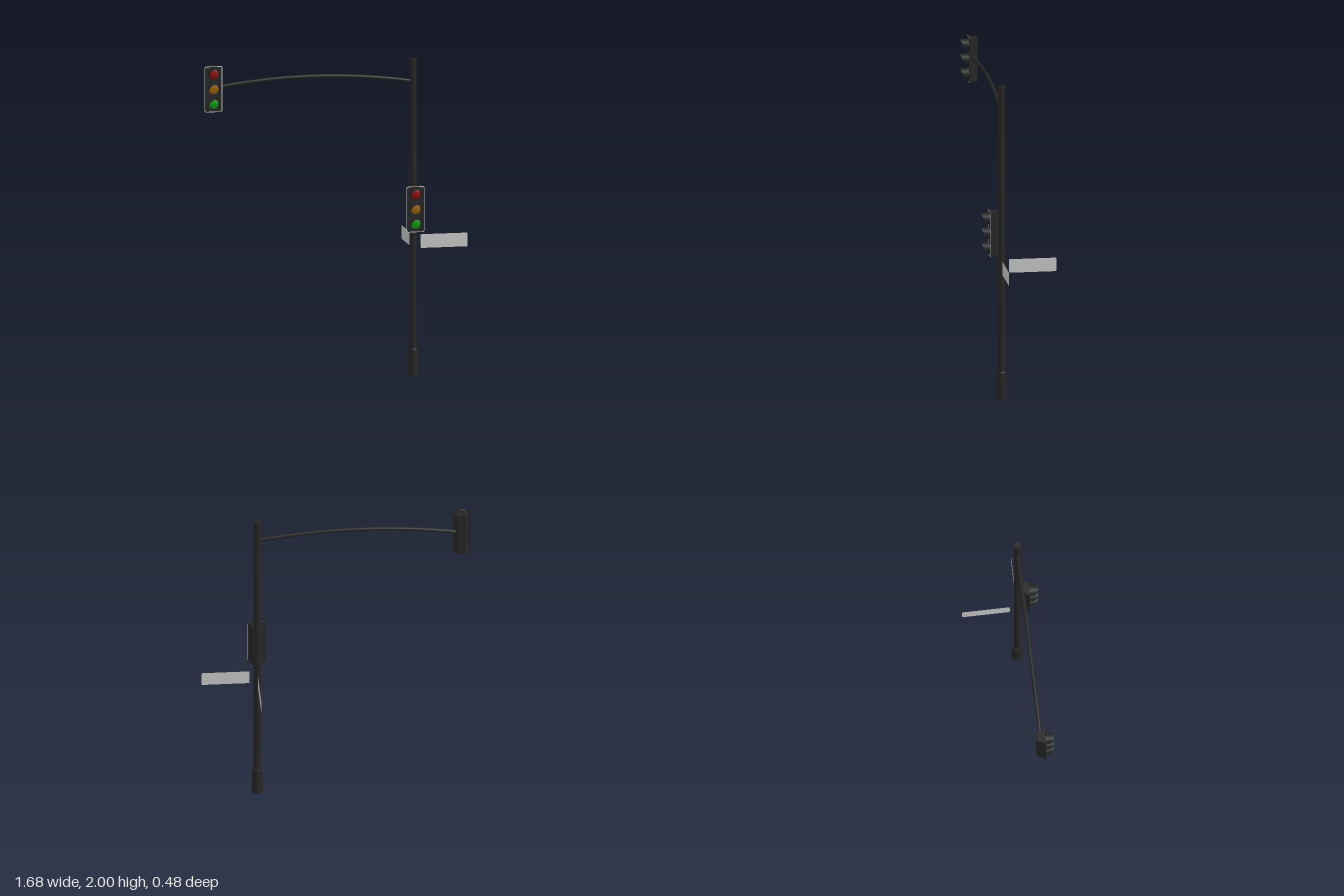
import * as THREE from 'three';

const mat = (color, side = THREE.FrontSide) => new THREE.MeshStandardMaterial({ color, side });
const dark = mat(0x262626);
const darkThin = mat(0x262626, THREE.DoubleSide);
const grey = mat(0xcccccc, THREE.DoubleSide);
const lensMats = [mat(0x8b0d10), mat(0x996000), mat(0x0c990c)];

const POLE_X = 0.491, POLE_Z = 0.108;

function add(parent, name, geometry, material, x = 0, y = 0, z = 0) {
  const mesh = new THREE.Mesh(geometry, material);
  mesh.name = name;
  mesh.position.set(x, y, z);
  parent.add(mesh);
  return mesh;
}

// Rounded rectangle centred on the origin
function roundedRect(w, h, r, Type = THREE.Shape) {
  const s = new Type(), x = w / 2, y = h / 2;
  s.moveTo(-x + r, -y);
  s.lineTo(x - r, -y).absarc(x - r, -y + r, r, -Math.PI / 2, 0);
  s.lineTo(x, y - r).absarc(x - r, y - r, r, 0, Math.PI / 2);
  s.lineTo(-x + r, y).absarc(-x + r, y - r, r, Math.PI / 2, Math.PI);
  s.lineTo(-x, -y + r).absarc(-x + r, -y + r, r, Math.PI, Math.PI * 1.5);
  return s;
}

// Tube hood, long at the top and cut away towards the bottom
function visorGeometry(radius, length) {
  const g = new THREE.CylinderGeometry(radius * 0.97, radius, 1, 32, 4, true);
  g.translate(0, 0.5, 0).rotateX(Math.PI / 2);
  const p = g.attributes.position;
  for (let i = 0; i < p.count; i++) {
    const u = THREE.MathUtils.clamp((p.getY(i) / radius + 1) / 2, 0, 1);
    p.setZ(i, p.getZ(i) * (0.004 + (length - 0.004) * Math.pow(u, 0.7)));
  }
  g.computeVertexNormals();
  return g;
}

// Signal head; local z = 0 is the front of the backplate
function signalHead(name, x, y, z) {
  const head = new THREE.Group();
  head.name = name;
  head.position.set(x, y, z);

  // Housing tapers towards the back
  const trapezoid = new THREE.Shape([
    new THREE.Vector2(-0.046, 0.002), new THREE.Vector2(0.046, 0.002),
    new THREE.Vector2(0.026, 0.053), new THREE.Vector2(-0.026, 0.053),
  ]);
  const housing = new THREE.ExtrudeGeometry(trapezoid, { depth: 0.28, bevelEnabled: false });
  housing.translate(0, 0, -0.14).rotateX(-Math.PI / 2).scale(1, 1, 1);
  // After the turn, the shape's +y lies along -z
  add(head, 'housing', housing, dark);

  const plate = new THREE.ExtrudeGeometry(roundedRect(0.114, 0.29, 0.012), { depth: 0.004, bevelEnabled: false });
  add(head, 'backplate', plate, dark, 0, 0, -0.004);

  const rim = roundedRect(0.114, 0.29, 0.012);
  rim.holes.push(roundedRect(0.105, 0.281, 0.009, THREE.Path));
  add(head, 'backplateRim', new THREE.ShapeGeometry(rim), grey, 0, 0, 0.001);

  lensMats.forEach((material, i) => {
    const ly = 0.094 * (1 - i);
    const dome = new THREE.SphereGeometry(0.032, 32, 10, 0, Math.PI * 2, 0, Math.PI / 2);
    dome.rotateX(Math.PI / 2).scale(1, 1, 0.3);
    add(head, ['redLens', 'amberLens', 'greenLens'][i], dome, material, 0, ly, 0);
    add(head, 'visor', visorGeometry(0.036, 0.057), darkThin, 0, ly, 0);
  });
  return head;
}

// Street sign reaching out along +x from the pole axis
function streetSign(name) {
  const sign = new THREE.Group();
  sign.name = name;
  sign.position.set(POLE_X, 0.845, POLE_Z);
  add(sign, 'signPlate', new THREE.ShapeGeometry(roundedRect(0.3, 0.087, 0.008)), grey, 0.197, 0, 0);
  for (const y of [-0.025, 0.025]) {
    const rod = new THREE.CylinderGeometry(0.002, 0.002, 0.036, 8).rotateZ(Math.PI / 2);
    add(sign, 'signBracket', rod, dark, 0.032, y, 0);
  }
  return sign;
}

export function createModel() {
  const model = new THREE.Group();
  model.name = 'trafficLight';

  // Pole and flared foot
  add(model, 'pole', new THREE.CylinderGeometry(0.022, 0.022, 2, 32), dark, POLE_X, 1, POLE_Z);
  const foot = [[0, 0], [0.035, 0], [0.035, 0.03], [0.031, 0.165], [0.028, 0.172], [0.02, 0.172]];
  const segments = foot.slice(1).map((b, i) => [foot[i], b]);
  const base = new THREE.Group();
  base.name = 'poleBase';
  base.position.set(POLE_X, 0, POLE_Z);
  // One lathe per profile section keeps the edges crisp
  for (const pair of segments) {
    add(base, 'poleBaseSection', new THREE.LatheGeometry(pair.map(([r, y]) => new THREE.Vector2(r, y)), 32), dark);
  }
  model.add(base);

  // Arched mast arm
  const arch = new THREE.QuadraticBezierCurve3(
    new THREE.Vector3(POLE_X, 1.857, POLE_Z),
    new THREE.Vector3(-0.146, 1.963, POLE_Z),
    new THREE.Vector3(-0.783, 1.857, POLE_Z),
  );
  add(model, 'mastArm', new THREE.TubeGeometry(arch, 40, 0.0118, 16), dark);

  // Signal heads on the arm and the pole
  model.add(signalHead('armSignal', -0.783, 1.855, 0.132));
  model.add(signalHead('poleSignal', POLE_X, 1.06, 0.181));

  // Two street signs at right angles, to the left and to the back
  model.add(streetSign('sideSign'));
  const backSign = streetSign('backSign');
  backSign.rotation.y = Math.PI / 2;
  model.add(backSign);

  return model;
}
